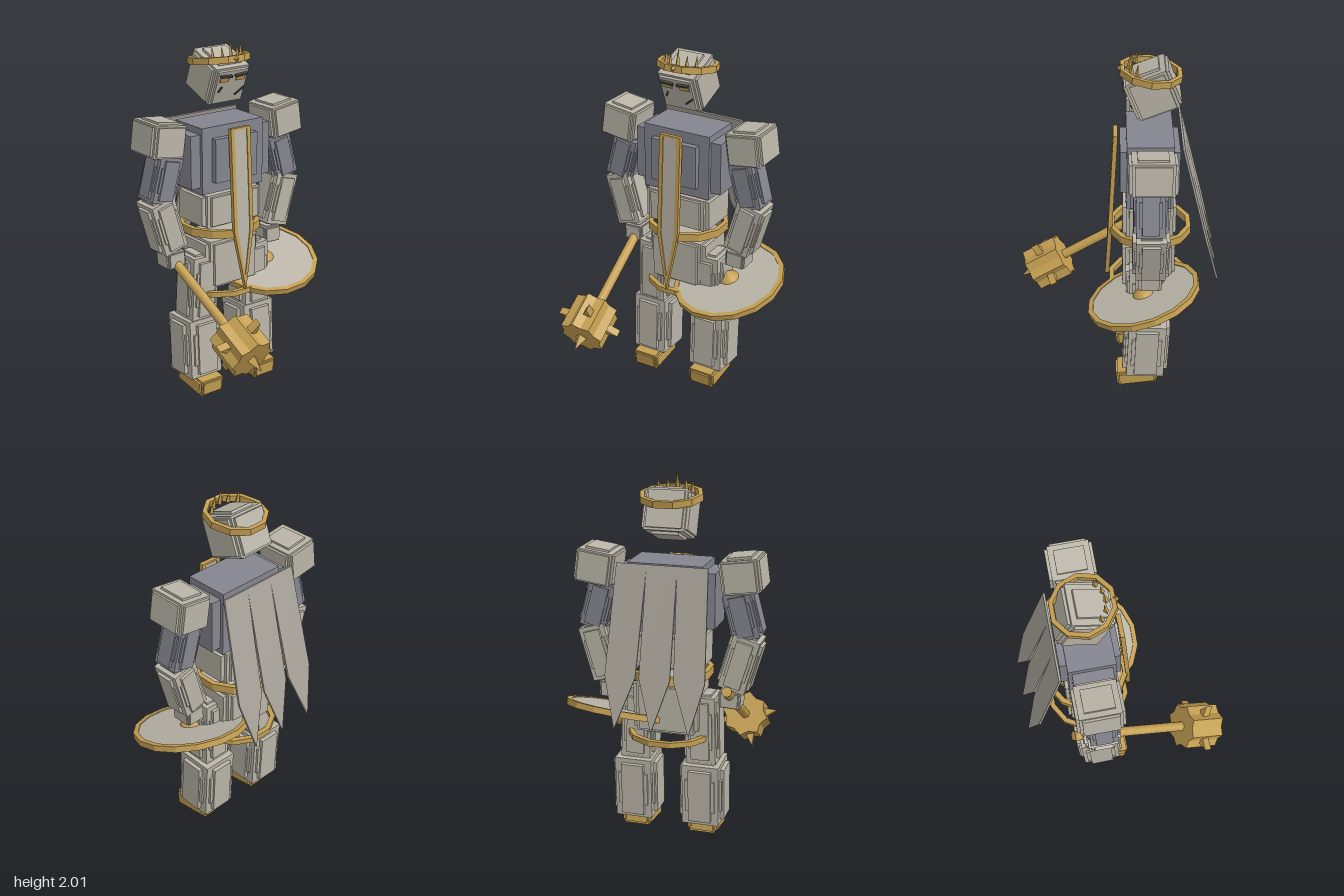
import * as THREE from 'three';

const CX = -0.045, CZ = -0.18; // body axis

export function createModel() {
  const root = new THREE.Group();
  root.name = 'stoneWarrior';
  const mat = (name, color) => {
    const m = new THREE.MeshStandardMaterial({ color });
    m.name = name;
    return m;
  };
  const stone = mat('stone', 0xbab5a8), slate = mat('slate', 0x85858f), gold = mat('gold', 0xc49f52);
  const cloth = mat('cloth', 0xa9a39a), dark = mat('charcoal', 0x45464a);

  const group = (name, x, y, z, rx = 0, ry = 0, rz = 0, parent = root) => {
    const g = new THREE.Group();
    g.name = name;
    g.position.set(x, y, z);
    g.rotation.set(rx, ry, rz);
    parent.add(g);
    return g;
  };
  const add = (parent, name, geo, m, x = 0, y = 0, z = 0) => {
    const mesh = new THREE.Mesh(geo, m);
    mesh.name = name;
    mesh.position.set(x, y, z);
    parent.add(mesh);
    return mesh;
  };
  const box = (w, h, d) => new THREE.BoxGeometry(w, h, d);
  const facet = (geo) => {
    const g = geo.index ? geo.toNonIndexed() : geo;
    g.computeVertexNormals();
    return g;
  };
  const extrude = (shape, depth) =>
    new THREE.ExtrudeGeometry(shape, { depth, bevelEnabled: false }).translate(0, 0, -depth / 2);
  const poly = (pts) => new THREE.Shape(pts.map(([x, y]) => new THREE.Vector2(x, y)));
  // Flat faceted band around the y axis
  const band = (r, t, h, n) => facet(new THREE.LatheGeometry(
    [[r, -h / 2], [r, h / 2], [r - t, h / 2], [r - t, -h / 2], [r, -h / 2]].map(([x, y]) => new THREE.Vector2(x, y)), n, Math.PI / n));

  // Blocks made of crossing boxes, as fractions of the full size
  const BLOCK = [[0.88, 0.88, 0.88], [1, 0.78, 0.76], [0.6, 1, 0.64], [0.78, 0.78, 1]];
  const CHEST = [[1, 0.8, 0.66], [0.77, 1, 0.78], [0.53, 0.66, 1]];
  const LIMB = [[0.82, 0.94, 0.82], [1, 0.8, 0.5], [0.5, 0.8, 1], [0.56, 1, 0.56], [0.92, 0.5, 0.66], [0.66, 0.5, 0.92]];
  const chunk = (name, kind, m, [w, h, d], pos, rot = [0, 0, 0]) => {
    const g = group(name, ...pos, ...rot);
    kind.forEach(([a, b, c], i) => add(g, name + 'Block' + i, box(w * a, h * b, d * c), m));
    return g;
  };

  // Torso
  chunk('chest', CHEST, slate, [0.53, 0.37, 0.32], [CX, 1.37, CZ]);
  chunk('waist', BLOCK, stone, [0.4, 0.21, 0.29], [CX, 1.08, CZ]);
  chunk('hips', BLOCK, stone, [0.36, 0.31, 0.29], [CX, 0.765, CZ]);
  add(root, 'belt', band(0.232, 0.028, 0.045, 12), gold, CX, 0.955, -0.19);
  add(root, 'lowerBelt', band(0.235, 0.028, 0.03, 12), gold, CX, 0.6, -0.19);

  // Arms and legs, mirrored about the body axis
  for (const [side, s] of [['right', -1], ['left', 1]]) {
    const x = (v) => CX + s * v;
    chunk(side + 'Shoulder', BLOCK, stone, [0.215, 0.2, 0.25], [x(0.395), 1.51, -0.185], [0, 0, s * 0.14]);
    chunk(side + 'UpperArm', LIMB, slate, [0.175, 0.27, 0.18], [x(0.395), 1.29, -0.175], [0, 0, s * 0.26]);
    chunk(side + 'Forearm', LIMB, stone, [0.18, 0.32, 0.195], [x(0.388), 1.03, CZ], [0, 0, -s * 0.28]);
    chunk(side + 'Hand', BLOCK, stone, [0.12, 0.1, 0.13], [x(0.335), 0.82, CZ], [0, 0, -s * 0.04]);
    chunk(side + 'Thigh', LIMB, stone, [0.2, 0.4, 0.21], [x(0.18), 0.63, -0.16], [0.02, 0, s * 0.03]);
    chunk(side + 'Shin', LIMB, stone, [0.25, 0.37, 0.26], [x(0.19), 0.27, -0.17], [-0.04, 0, 0]);
    chunk(side + 'Foot', [[0.85, 1, 0.92], [1, 0.7, 0.85], [0.75, 0.75, 1]], gold,
      [0.165, 0.095, 0.235], [x(0.19), 0.062, -0.118], [0.13, 0, 0]);
  }

  // Head, bowed forward, with face details
  const head = chunk('head', BLOCK, stone, [0.247, 0.25, 0.25], [-0.047, 1.8, -0.19], [0.38, 0, 0]);
  for (const s of [-1, 1]) {
    add(head, 'eye', box(0.058, 0.026, 0.009), gold, s * 0.053, 0.05, 0.127);
    const brow = add(head, 'brow', box(0.075, 0.012, 0.02), dark, s * 0.048, 0.072, 0.13);
    brow.rotation.z = s * 0.08;
    const scar = add(head, 'scar', box(s > 0 ? 0.07 : 0.035, 0.009, 0.009), dark, s * 0.067, s > 0 ? -0.035 : -0.01, 0.127);
    scar.rotation.z = s > 0 ? 0.7 : 1.1;
  }

  // Crown with spikes along the front
  const crown = group('crown', CX, 1.89, CZ, -0.13);
  add(crown, 'crownBand', band(0.17, 0.024, 0.036, 10), gold);
  for (let i = -2; i <= 2; i++) {
    const h = i === 0 ? 0.11 : 0.075, a = i * 0.38;
    const spike = facet(new THREE.ConeGeometry(0.014, h, 4));
    add(crown, 'crownSpike', spike, gold, Math.sin(a) * 0.135, h / 2, Math.cos(a) * 0.135 - 0.02);
  }
  add(crown, 'crownStud', facet(new THREE.OctahedronGeometry(0.024)), gold, 0, 0, 0.155);

  // Cape of three pointed panels, leaning back
  const cape = group('cape', CX, 1.56, -0.35, 0.245);
  const L = 0.865, S = L * 0.68;
  for (let i = -1; i <= 1; i++) {
    const t = i * 0.163, b = i * 0.186, h = 0.082;
    add(cape, 'capePanel', extrude(poly([[t - h, 0], [b - h - 0.001, -S], [i * 0.201, -L], [b + h + 0.001, -S], [t + h, 0]]), 0.012), cloth);
  }

  // Tabard with gold trim, hanging down to a point
  const tabard = group('tabard', CX, 1.545, 0.003, -0.052);
  const trim = poly([[-0.065, 0], [-0.065, -0.58], [0, -0.925], [0.065, -0.58], [0.065, 0]]);
  const inner = [[-0.042, -0.012], [-0.042, -0.58], [0, -0.84], [0.042, -0.58], [0.042, -0.012]];
  trim.holes.push(new THREE.Path(inner.map(([x, y]) => new THREE.Vector2(x, y))));
  add(tabard, 'tabardTrim', extrude(trim, 0.024), gold);
  add(tabard, 'tabardCloth', extrude(poly(inner), 0.014), stone);

  // Shield, held almost flat with its front facing down
  const shield = group('shield', 0.245, 0.675, -0.15, 0.3, 0, 0.09);
  const disc = (r, h) => facet(new THREE.CylinderGeometry(r, r, h, 16));
  add(shield, 'shieldRim', band(0.32, 0.028, 0.034, 16), gold);
  add(shield, 'shieldFace', disc(0.297, 0.024), stone).rotation.y = Math.PI / 16;
  const boss = new THREE.SphereGeometry(0.07, 16, 10);
  boss.scale(1, 0.95, 1);
  add(shield, 'shieldBoss', boss, gold, 0, -0.022, 0);
  add(shield, 'shieldGrip', new THREE.SphereGeometry(0.04, 12, 8), gold, 0, 0.012, 0);
  for (let i = 0; i < 8; i++) {
    const a = (i + 0.5) * Math.PI / 4;
    const spoke = add(shield, 'shieldSpoke', box(0.11, 0.018, 0.02), gold, Math.cos(a) * 0.175, -0.016, Math.sin(a) * 0.175);
    spoke.rotation.y = -a;
  }

  // Mace: local +z runs from the grip to the head
  const mace = group('mace', -0.34, 0.495, 0.4);
  mace.lookAt(-0.34 + 0.047, 0.495 - 0.405, 0.4 + 0.725);
  add(mace, 'maceHandle', new THREE.CylinderGeometry(0.027, 0.027, 0.83, 14).rotateX(Math.PI / 2), gold, 0, 0, -0.415);
  const star = [];
  for (let i = 0; i < 16; i++) {
    const a = i * Math.PI / 8 + 0.13, r = i % 2 ? 0.108 : 0.132;
    star.push([Math.cos(a) * r, Math.sin(a) * r]);
  }
  add(mace, 'maceHead', extrude(poly(star), 0.21), gold);
  for (let i = 0; i < 4; i++) {
    const spike = add(mace, 'maceSpike', extrude(poly([[0.08, -0.035], [0.18, 0], [0.08, 0.035]]), 0.042), gold);
    spike.rotation.z = i * Math.PI / 2 - 0.26;
  }
  add(mace, 'maceTip', facet(new THREE.ConeGeometry(0.035, 0.09, 4).rotateX(Math.PI / 2)), gold, 0, 0, 0.145);

  return root;
}
